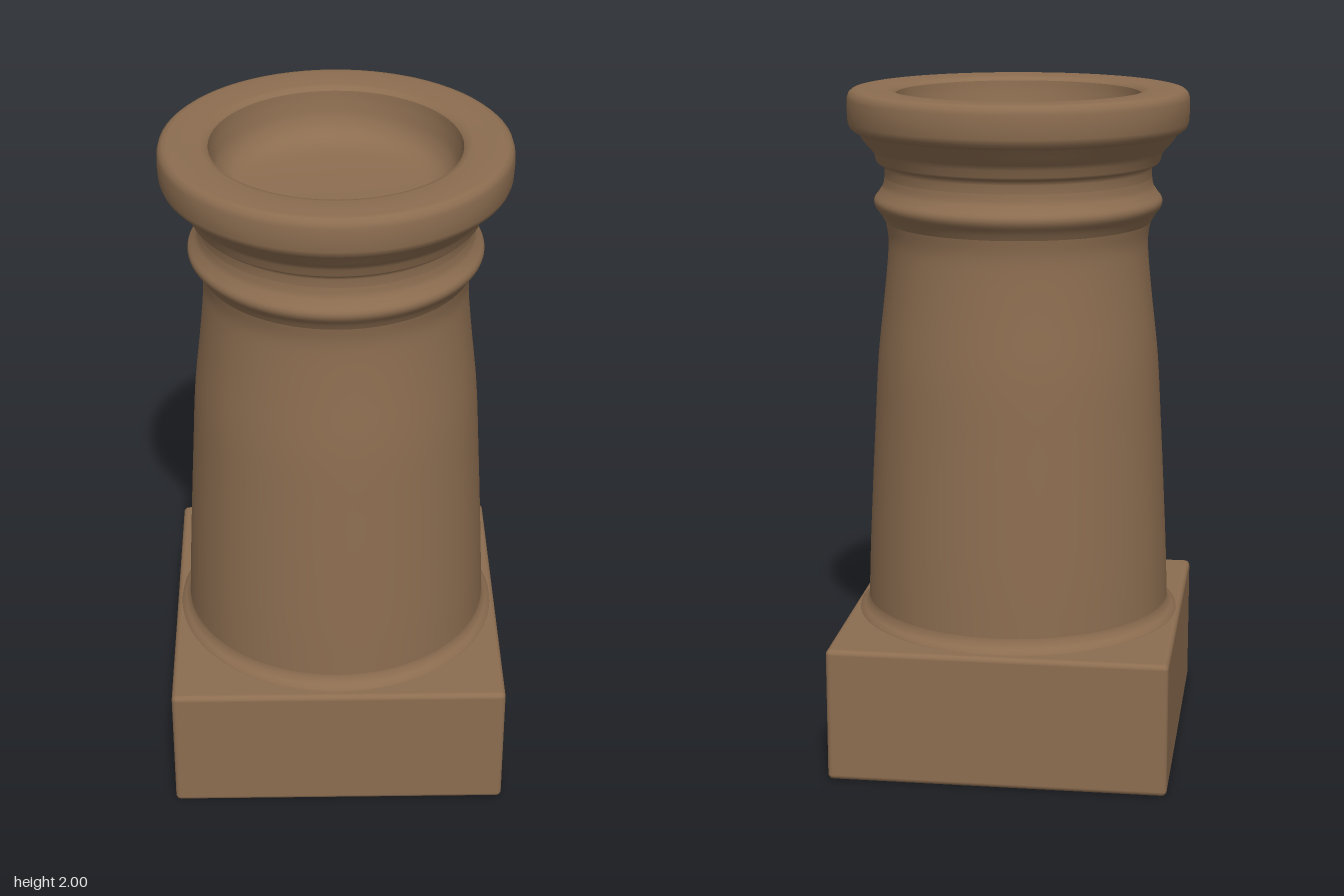
import * as THREE from 'three';
import { RoundedBoxGeometry } from 'three/addons/geometries/RoundedBoxGeometry.js';

export function createModel() {
  const model = new THREE.Group();
  model.name = 'pedestal';
  const clay = new THREE.MeshStandardMaterial({ color: 0x8c6d50 });
  clay.name = 'brown clay';

  const add = (name, geometry) => {
    const mesh = new THREE.Mesh(geometry, clay);
    mesh.name = name;
    model.add(mesh);
    return mesh;
  };
  // Revolve a profile of [radius, height] pairs, listed from the outside upwards
  const turned = (name, profile) =>
    add(name, new THREE.LatheGeometry(profile.map(([r, y]) => new THREE.Vector2(r, y)), 72));
  // Smooth curve through a few profile points
  const smooth = (profile, steps) =>
    new THREE.SplineCurve(profile.map(([r, y]) => new THREE.Vector2(r, y)))
      .getPoints(steps).map((p) => [p.x, p.y]);

  // Square plinth with softly worn edges
  add('plinth', new RoundedBoxGeometry(1.006, 0.405, 1.026, 3, 0.016)).position.y = 0.2025;

  // Low moulding where the shaft meets the plinth
  turned('footRing', [[0.49, 0.4], [0.488, 0.41], [0.475, 0.42], [0.463, 0.432], [0.46, 0.45]]);

  // Tapering shaft
  turned('shaft', smooth([[0.461, 0.43], [0.455, 0.6], [0.445, 0.8], [0.434, 1.0],
    [0.422, 1.2], [0.402, 1.38], [0.39, 1.5], [0.388, 1.56], [0.396, 1.61]], 36));

  // Rounded bead around the neck
  turned('neckBead', smooth([[0.394, 1.605], [0.408, 1.63], [0.426, 1.655], [0.428, 1.675],
    [0.414, 1.695], [0.402, 1.715], [0.397, 1.74]], 24));

  // Neck with a small step, flaring out under the rim
  turned('neck', [[0.397, 1.735], [0.396, 1.765], [0.402, 1.778], [0.416, 1.783], [0.422, 1.79],
    [0.426, 1.81], [0.437, 1.826], [0.458, 1.848], [0.47, 1.868], [0.482, 1.878]]);

  // Heavy rim, flat on top
  turned('rim', [[0.47, 1.872], [0.486, 1.878], [0.498, 1.889], [0.504, 1.905], [0.506, 1.94],
    [0.505, 1.972], [0.5, 1.988], [0.489, 1.997], [0.475, 2.0], [0.43, 2.0], [0.385, 1.998],
    [0.37, 1.994], [0.361, 1.985]]);

  // Shallow bowl sunk into the top
  turned('bowl', smooth([[0.361, 1.985], [0.356, 1.95], [0.342, 1.9], [0.31, 1.862],
    [0.25, 1.842], [0.13, 1.832], [0, 1.83]], 28));

  return model;
}
